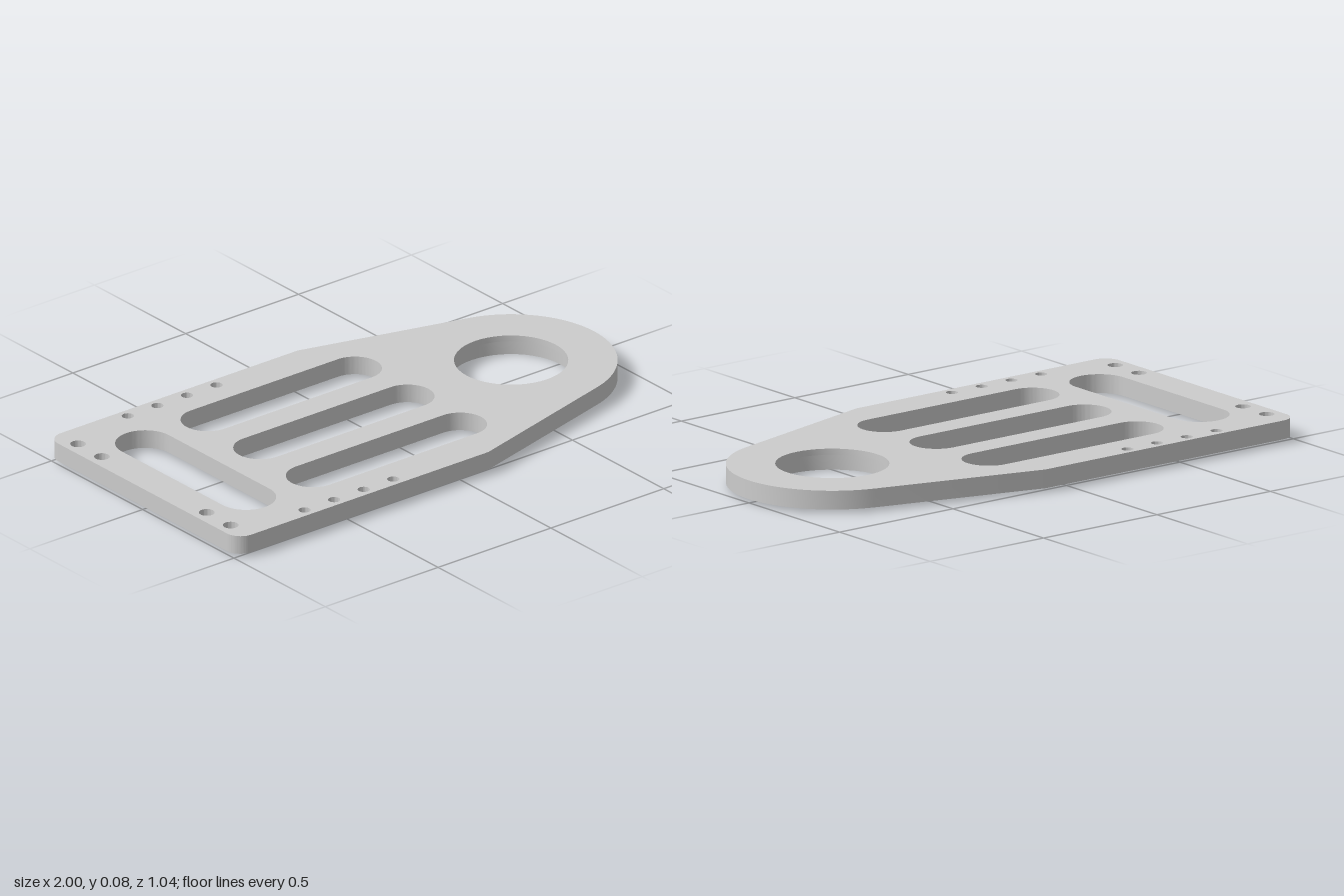
import * as THREE from 'three';
import { mergeGeometries, toCreasedNormals } from 'three/addons/utils/BufferGeometryUtils.js';

const BOTTOM = 0.013, TOP = 0.08, LIP = 0.058; // plate faces and bore shoulder
const HALF = 0.522, NOSE_X = 0.633, NOSE_R = 0.367;
const SEG = 24; // each arc gets twice this many segments

function circle(x, y, r) {
  return new THREE.Path().absarc(x, y, r, 0, Math.PI * 2, false);
}

// Rounded slots along x or along the width
function slotX(x0, x1, y, r) {
  return new THREE.Path()
    .absarc(x1 - r, y, r, -Math.PI / 2, Math.PI / 2, false)
    .absarc(x0 + r, y, r, Math.PI / 2, Math.PI * 1.5, false);
}
function slotY(x, halfLength, r) {
  return new THREE.Path()
    .absarc(x, halfLength - r, r, 0, Math.PI, false)
    .absarc(x, r - halfLength, r, Math.PI, Math.PI * 2, false);
}

// Plate outline: round nose, tapered sides, square rear
function plateShape(boreRadius) {
  const a = THREE.MathUtils.degToRad(75), c = 0.06;
  const s = new THREE.Shape();
  s.absarc(NOSE_X, 0, NOSE_R, -a, a, false);
  s.lineTo(0.11, HALF);
  s.absarc(-1 + c, HALF - c, c, Math.PI / 2, Math.PI, false);
  s.absarc(-1 + c, -HALF + c, c, Math.PI, Math.PI * 1.5, false);
  s.lineTo(0.11, -HALF);

  // Lightening slots
  for (const y of [-0.288, 0, 0.288]) s.holes.push(slotX(-0.572, 0.267, y, 0.093));
  s.holes.push(slotY(-0.765, 0.38, 0.104));

  // Bolt holes, mirrored across the middle
  for (const side of [-1, 1]) {
    for (const y of [0.287, 0.418]) s.holes.push(circle(-0.948, side * y, 0.027));
    for (let i = 0; i < 4; i++) s.holes.push(circle(-0.674 + i * 0.131, side * 0.484, 0.021));
  }
  if (boreRadius) s.holes.push(circle(NOSE_X, 0, boreRadius));
  return s;
}

// Flat face of the plate, facing up (+1) or down (-1)
function plateFace(boreRadius, y, facing) {
  return new THREE.ShapeGeometry(plateShape(boreRadius), SEG)
    .rotateX(-facing * Math.PI / 2).translate(0, y, 0).toNonIndexed();
}

// Edge walls of the outline and its holes, without caps
function plateWalls() {
  const g = new THREE.ExtrudeGeometry(plateShape(0), {
    depth: TOP - BOTTOM, bevelEnabled: false, curveSegments: SEG,
  });
  const { start, count } = g.groups[1];
  const walls = new THREE.BufferGeometry();
  for (const name of ['position', 'normal', 'uv']) {
    const attr = g.attributes[name], n = attr.itemSize;
    const part = attr.array.slice(start * n, (start + count) * n);
    walls.setAttribute(name, new THREE.BufferAttribute(part, n));
  }
  return walls.rotateX(-Math.PI / 2).translate(0, BOTTOM, 0);
}

// Stepped bore with a collar standing out below the plate
function steppedBore() {
  const profile = [
    [0.197, TOP], [0.197, LIP], [0.216, LIP],
    [0.216, 0], [0.234, 0], [0.234, BOTTOM],
  ].map(([r, y]) => new THREE.Vector2(r, y));
  return new THREE.LatheGeometry(profile, SEG * 2)
    .rotateY(Math.PI / 2).translate(NOSE_X, 0, 0).toNonIndexed();
}

export function createModel() {
  const group = new THREE.Group();
  group.name = 'mountingPlate';
  const metal = new THREE.MeshStandardMaterial({ color: 0xcccccc });
  metal.name = 'light grey metal';

  const body = mergeGeometries([
    plateFace(0.197, TOP, 1),
    plateFace(0.234, BOTTOM, -1),
    plateWalls(),
    steppedBore(),
  ]);
  const plate = new THREE.Mesh(toCreasedNormals(body, 0.5), metal);
  plate.name = 'slottedPlateWithCollar';
  group.add(plate);
  return group;
}
